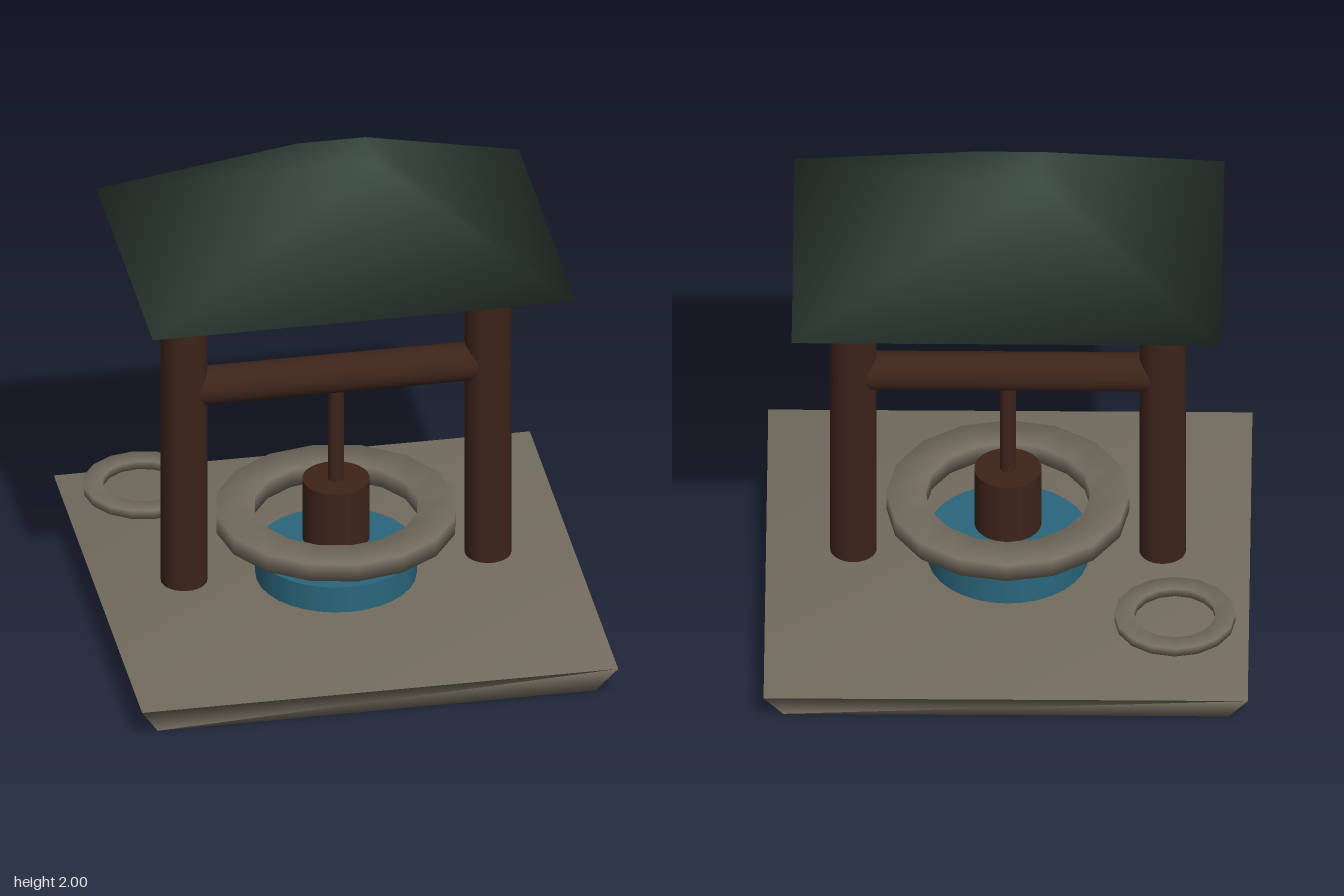
import * as THREE from 'three';
import { mergeVertices } from 'three/addons/utils/BufferGeometryUtils.js';

const material = (color) => new THREE.MeshStandardMaterial({ color });

// Joins all corners so that normals run smoothly over every edge
function weld(geometry) {
  geometry.deleteAttribute('uv');
  geometry.deleteAttribute('normal');
  const welded = mergeVertices(geometry, 1e-4);
  welded.computeVertexNormals();
  return welded;
}

// Four-sided block with different rectangles (half sizes) at bottom and top
function taperedBlock([bottomX, bottomZ], [topX, topZ], y0, y1) {
  const geometry = new THREE.BoxGeometry(2, 2, 2);
  const p = geometry.attributes.position;
  for (let i = 0; i < p.count; i++) {
    const top = p.getY(i) > 0;
    p.setXYZ(i, p.getX(i) * (top ? topX : bottomX), top ? y1 : y0, p.getZ(i) * (top ? topZ : bottomZ));
  }
  return weld(geometry);
}

// Flat ring of rectangular section, centred on its own height
function ring(inner, outer, height) {
  const h = height / 2;
  const profile = [[inner, -h], [outer, -h], [outer, h], [inner, h], [inner, -h]];
  return weld(new THREE.LatheGeometry(profile.map(([r, y]) => new THREE.Vector2(r, y)), 16));
}

// Upright cylinder between two heights
function upright(radius, y0, y1) {
  return new THREE.CylinderGeometry(radius, radius, y1 - y0, 32).translate(0, (y0 + y1) / 2, 0);
}

// Horizontal cylinder along x
function beam(radius, halfLength, y) {
  return new THREE.CylinderGeometry(radius, radius, halfLength * 2, 32).rotateZ(Math.PI / 2).translate(0, y, 0);
}

export function createModel() {
  const model = new THREE.Group();
  model.name = 'well';
  const stone = material(0x736c5e);
  const wood = material(0x3d241a);
  const slate = material(0x38483f);
  const water = material(0x2a667c);

  const add = (name, geometry, mat, x = 0, y = 0, z = 0) => {
    const mesh = new THREE.Mesh(geometry, mat);
    mesh.name = name;
    mesh.position.set(x, y, z);
    model.add(mesh);
  };

  // Ground slab and water basin
  add('platform', taperedBlock([0.86, 0.86], [0.935, 0.935], 0, 0.13), stone);
  add('water', upright(0.312, 0.125, 0.24), water);

  // Stone rings: well rim and the loose one at the back
  add('wellRim', ring(0.32, 0.47, 0.076), stone, 0, 0.393, 0);
  add('looseRing', ring(0.158, 0.234, 0.036), stone, -0.65, 0.263, -0.57);

  // Wooden frame
  for (const side of [-1, 1]) {
    add(side > 0 ? 'leftPost' : 'rightPost', upright(0.09, 0.16, 1.57), wood, side * 0.597);
  }
  add('crossbar', beam(0.076, 0.65, 1.017), wood);
  add('roofBeam', beam(0.09, 0.728, 1.56), wood);

  // Rope and bucket
  add('rope', upright(0.031, 0.5, 1.0), wood);
  add('bucket', upright(0.13, 0.29, 0.55), wood);

  // Hipped roof
  add('roof', taperedBlock([0.83, 0.597], [0.133, 0.096], 1.588, 2), slate);

  return model;
}
